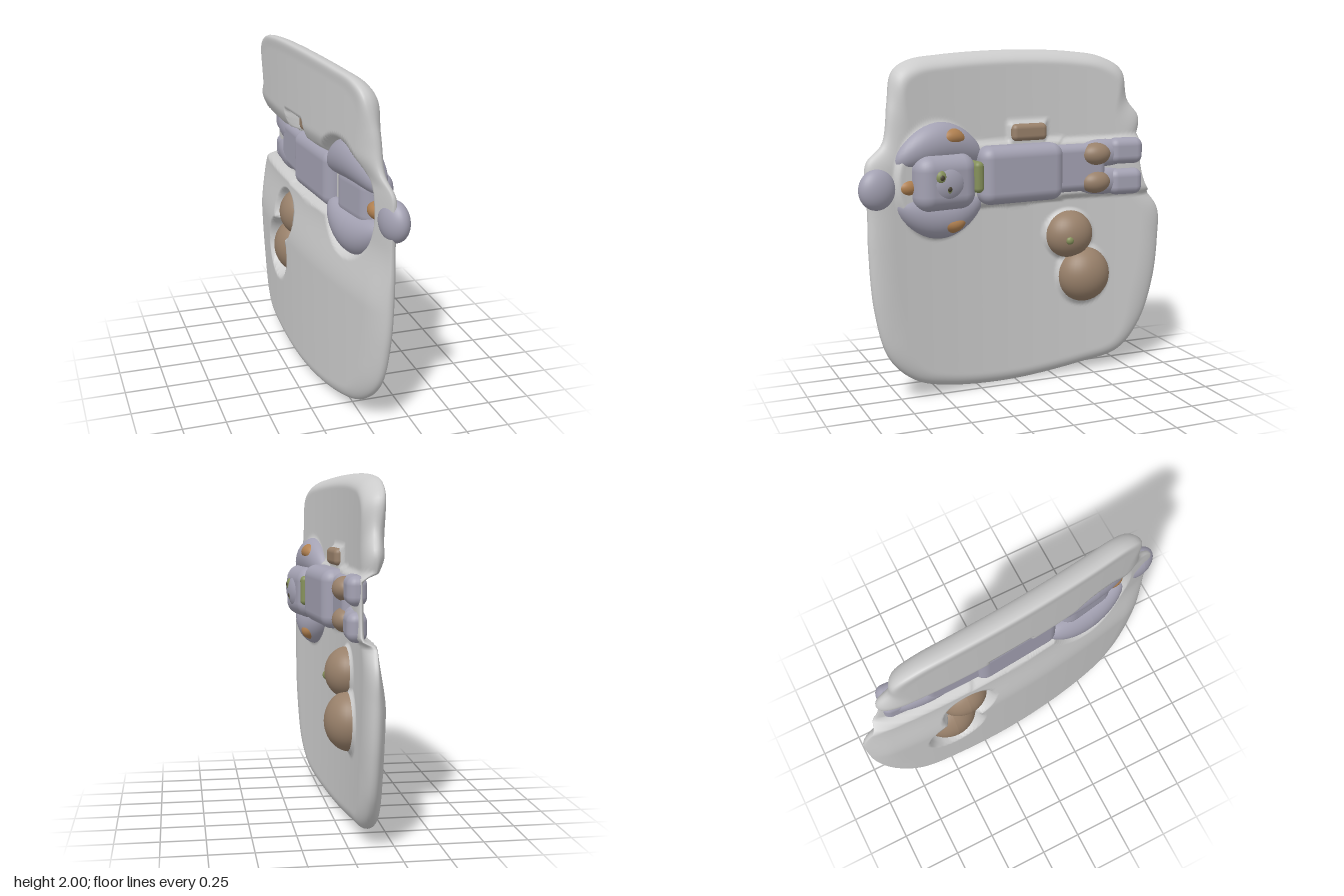
import * as THREE from 'three';
import { mergeVertices } from 'three/addons/utils/BufferGeometryUtils.js';
import { RoundedBoxGeometry } from 'three/addons/geometries/RoundedBoxGeometry.js';

const LILAC = 0xa3a1b2, BROWN = 0x98806a, ORANGE = 0xb08050, GREEN = 0x85905a, DARK = 0x4a4434;
const AXIS_Y = 1.275; // centre line of the lying figure
const { lerp, smoothstep } = THREE.MathUtils;

// The slab is gently bowed: x of its middle sheet at a given z
const bow = z => -0.11 + 0.09 * z + 0.09 * z * z;
const slope = z => Math.atan(0.09 + 0.18 * z);

// Recesses around the figure and the gourd: [z, y, half z, half y, round?]
const recesses = [
  [0, 1.29, 0.29, 0.18, false],
  [-0.6, 1.29, 0.34, 0.17, false],
  [-0.065, 1.52, 0.12, 0.06, false],
  [0.51, 1.275, 0.27, 0.32, true],
  [-0.34, 0.89, 0.155, 0.145, true],
  [-0.44, 0.63, 0.17, 0.175, true],
];

function recessAmount(z, y) {
  let d = 1;
  for (const [cz, cy, rz, ry, round] of recesses) {
    const dz = Math.abs(z - cz), dy = Math.abs(y - cy);
    const dist = round
      ? (Math.hypot(dz / rz, dy / ry) - 1) * Math.min(rz, ry)
      : Math.max(dz - rz, dy - ry);
    d = Math.min(d, dist);
  }
  return 1 - smoothstep(d, -0.02, 0.02);
}

// The back of the slab thins out gradually towards the figure
const backThinning = y => 0.05 * smoothstep(y, 0.75, 1.12) * (1 - smoothstep(y, 1.42, 1.58));

// Slab: rings shrunk from the outline, one sheet per side, meeting at the rim
function slabGeometry() {
  const outline = [
    [0.76, 1.89], [0.67, 1.95], [0.46, 1.98], [0, 2], [-0.4, 1.985], [-0.61, 1.95],
    [-0.74, 1.87], [-0.77, 1.69], [-0.845, 1.58], [-0.82, 1.4], [-0.86, 1.18], [-0.985, 1],
    [-0.99, 0.81], [-0.96, 0.54], [-0.87, 0.27], [-0.72, 0.1], [-0.45, 0.04], [0.03, 0],
    [0.46, 0.04], [0.67, 0.11], [0.83, 0.27], [0.91, 0.54], [0.94, 0.91], [0.94, 1.13],
    [0.95, 1.27], [0.94, 1.4], [0.84, 1.5], [0.8, 1.72],
  ].map(([z, y]) => new THREE.Vector3(0, y, z));
  const segs = 280, rings = 70;
  const rim = new THREE.CatmullRomCurve3(outline, true).getSpacedPoints(segs);
  const pos = [], index = [];
  for (const side of [1, -1]) {
    const base = pos.length / 3;
    for (let i = 0; i <= rings; i++) {
      const s = 1 - Math.pow(1 - i / rings, 1.4);
      for (let j = 0; j < segs; j++) {
        const z = rim[j].z * s, y = 1 + (rim[j].y - 1) * s;
        // rim is blunter at top and bottom than at the two ends
        const width = lerp(0.16, 0.08, smoothstep(Math.abs(rim[j].y - 1), 0.6, 0.95));
        const edge = 1 - Math.min((1 - s) / width, 1);
        const thick = Math.sqrt(1 - edge * edge);
        const r = recessAmount(z, y);
        const full = side > 0 ? 0.066 : 0.06 - backThinning(y);
        // slight backward lean, and a top rim that rounds off towards the back
        const lean = -0.012 * (y - 1) - 0.04 * edge * edge * smoothstep(rim[j].y, 1.6, 1.95);
        pos.push(bow(z) + lean + 0.075 * r + side * thick * lerp(full, 0.022, r), y, z);
      }
    }
    for (let i = 0; i < rings; i++) {
      for (let j = 0; j < segs; j++) {
        const k = (j + 1) % segs;
        const a = base + i * segs + j, b = a + segs;
        const d = base + i * segs + k, c = d + segs;
        if (side > 0) index.push(a, c, b, a, d, c);
        else index.push(a, b, c, a, c, d);
      }
    }
  }
  const g = new THREE.BufferGeometry();
  g.setAttribute('position', new THREE.Float32BufferAttribute(pos, 3));
  g.setIndex(index);
  const merged = mergeVertices(g, 1e-4);
  merged.computeVertexNormals();
  return merged;
}

export function createModel() {
  const model = new THREE.Group();
  const figure = new THREE.Group();
  figure.name = 'figure';
  const gourd = new THREE.Group();
  gourd.name = 'gourd';
  model.add(figure, gourd);

  const add = (parent, name, geometry, color, x, y, z) => {
    const mesh = new THREE.Mesh(geometry, new THREE.MeshStandardMaterial({ color }));
    mesh.name = name;
    mesh.position.set(x, y, z);
    mesh.rotation.y = slope(z);
    parent.add(mesh);
    return mesh;
  };

  // Ellipsoid raised by dx from the slab; bend curls its two ends up or down
  const blob = (parent, name, color, z, y, dx, [rx, ry, rz], bend = 0) => {
    const g = new THREE.SphereGeometry(1, 36, 24);
    g.scale(rx, ry, rz);
    const p = g.attributes.position;
    for (let i = 0; i < p.count; i++) p.setY(i, p.getY(i) - bend * (p.getZ(i) / rz) ** 2);
    g.computeVertexNormals();
    return add(parent, name, g, color, bow(z) + dx, y, z);
  };

  const box = (parent, name, color, z, y, dx, [w, h, d], radius) =>
    add(parent, name, new RoundedBoxGeometry(w, h, d, 4, radius), color, bow(z) + dx, y, z);

  add(model, 'slab', slabGeometry(), 0xcccccc, 0, 0, 0).rotation.y = 0;

  // Head end
  blob(figure, 'topBall', LILAC, 0.888, 1.255, 0.04, [0.07, 0.115, 0.11]);
  blob(figure, 'neckKnot', ORANGE, 0.71, 1.255, 0.06, [0.055, 0.05, 0.07]);
  box(figure, 'face', LILAC, 0.5, AXIS_Y, 0.105, [0.2, 0.32, 0.38], 0.09);
  blob(figure, 'faceBulge', LILAC, 0.5, AXIS_Y, 0.15, [0.075, 0.12, 0.13]);
  for (const [z, y] of [[0.545, 1.315], [0.5, 1.25]]) {
    blob(figure, 'eye', GREEN, z, y, 0.195, [0.03, 0.04, 0.035]);
    blob(figure, 'pupil', DARK, z, y, 0.207, [0.022, 0.022, 0.02]);
  }
  box(figure, 'scarf', GREEN, 0.305, AXIS_Y + 0.02, 0.14, [0.13, 0.18, 0.06], 0.028);

  // Two curved hood lobes, mirrored about the figure's centre line
  for (const s of [1, -1]) {
    blob(figure, 'hoodLobe', LILAC, 0.505, AXIS_Y + s * 0.21, 0.05, [0.1, 0.125, 0.285], s * 0.09);
    blob(figure, 'hoodPatch', ORANGE, 0.45, AXIS_Y + s * 0.25, 0.08, [0.075, 0.055, 0.1], s * 0.02);
  }

  // Torso and hip
  box(figure, 'torso', LILAC, 0.01, 1.29, 0.098, [0.21, 0.34, 0.54], 0.07);
  box(figure, 'hip', LILAC, -0.37, 1.295, 0.08, [0.12, 0.29, 0.4], 0.05);

  // Legs with cuffs and feet
  for (const s of [1, -1]) {
    const y = 1.29 + s * 0.085;
    blob(figure, 'leg', LILAC, -0.56, y, 0.075, [0.06, 0.085, 0.22]);
    blob(figure, 'cuff', BROWN, -0.5, y, 0.115, [0.07, 0.068, 0.095]);
    box(figure, 'foot', LILAC, -0.71, y + s * 0.01, 0.09, [0.11, 0.16, 0.22], 0.05);
  }

  // Small block lying against the torso
  box(figure, 'sideBlock', BROWN, -0.065, 1.525, 0.06, [0.11, 0.1, 0.23], 0.03);

  // Two-lobed gourd, reaching through the slab
  blob(gourd, 'upperLobe', BROWN, -0.34, 0.89, 0.07, [0.13, 0.145, 0.155]);
  blob(gourd, 'lowerLobe', BROWN, -0.44, 0.63, 0.075, [0.145, 0.17, 0.17]);
  blob(gourd, 'dimple', GREEN, -0.3, 0.87, 0.185, [0.02, 0.025, 0.025]);

  return model;
}
